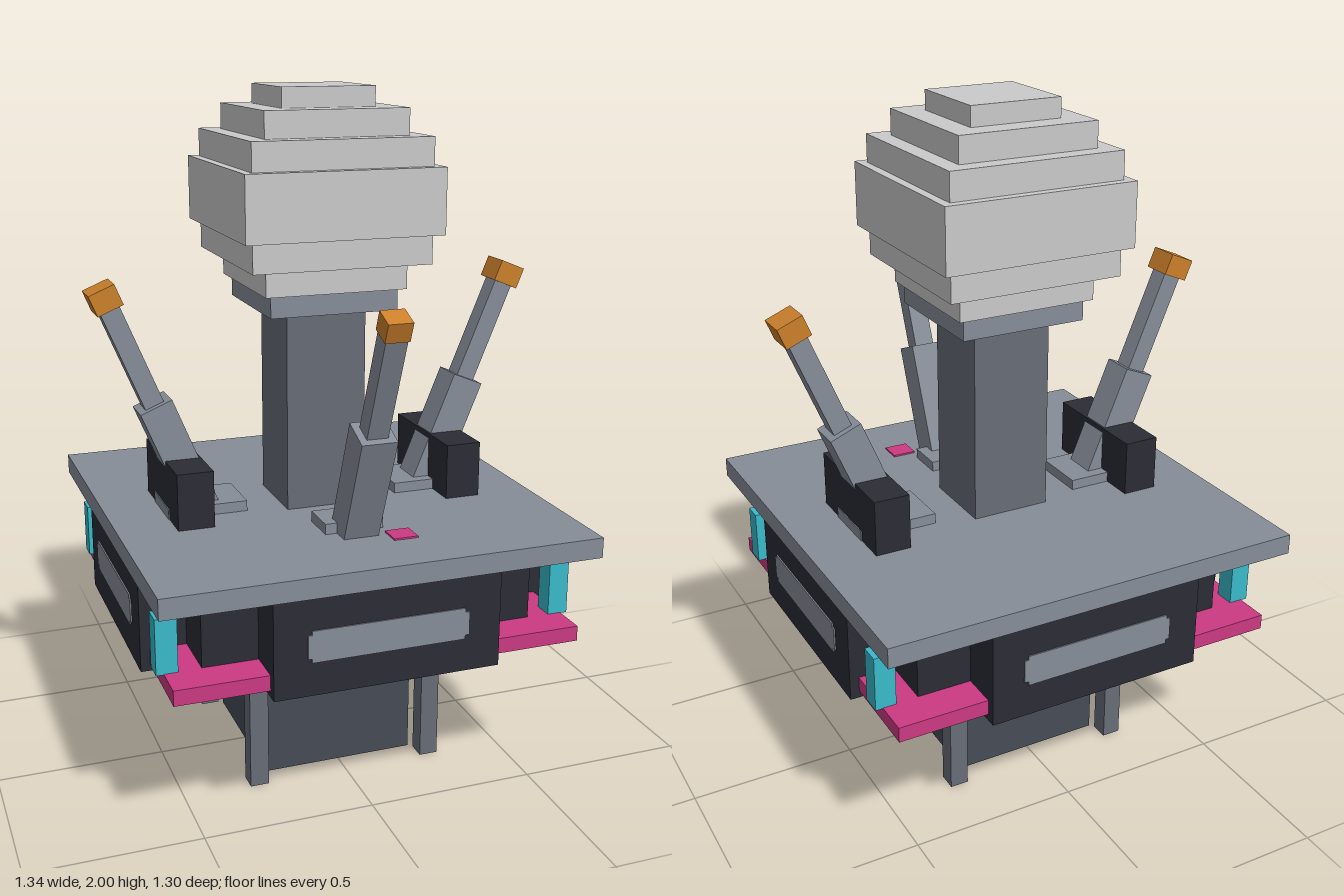
import * as THREE from 'three';

const paint = (name, color) => {
  const m = new THREE.MeshStandardMaterial({ color });
  m.name = name;
  return m;
};

export function createModel() {
  const white = paint('paleGrey', 0xcacaca);
  const slate = paint('slate', 0x868d98);
  const steel = paint('steel', 0x676c77);
  const iron = paint('darkSteel', 0x464b56);
  const black = paint('charcoal', 0x2b2c35);
  const pink = paint('pink', 0xcb3a82);
  const cyan = paint('cyan', 0x3abacb);
  const orange = paint('orange', 0xcb802b);

  const root = new THREE.Group();
  root.name = 'console';
  const model = new THREE.Group();
  model.name = 'body';
  model.position.z = -0.014;
  root.add(model);

  // box given by its x, y and z ranges
  const box = (name, mat, [x0, x1], [y0, y1], [z0, z1], parent = model) => {
    const mesh = new THREE.Mesh(new THREE.BoxGeometry(x1 - x0, y1 - y0, z1 - z0), mat);
    mesh.position.set((x0 + x1) / 2, (y0 + y1) / 2, (z0 + z1) / 2);
    mesh.name = name;
    parent.add(mesh);
    return mesh;
  };
  const square = (name, mat, r, y0, y1) => box(name, mat, [-r, r], [y0, y1], [-r, r]);

  // prism whose outline is one quadrant of points mirrored four ways
  const prism = (quadrant, depth) => {
    const back = [...quadrant].reverse();
    const pts = [
      ...quadrant,
      ...back.map(([x, y]) => [-x, y]),
      ...quadrant.map(([x, y]) => [-x, -y]),
      ...back.map(([x, y]) => [x, -y]),
    ].map(([x, y]) => new THREE.Vector2(x, y));
    return new THREE.ExtrudeGeometry(new THREE.Shape(pts), { depth, bevelEnabled: false });
  };

  // pedestal with four corner legs
  square('pedestal', iron, 0.232, 0, 0.445);
  for (const sx of [-1, 1]) for (const sz of [-1, 1]) {
    const x = sx * 0.272, z = sz * 0.272;
    box('leg', steel, [x - 0.028, x + 0.028], [0, 0.445], [z - 0.028, z + 0.028]);
  }

  // housing with stepped corners, under a square table top
  const housing = new THREE.Mesh(
    prism([[0.622, 0.33], [0.49, 0.33], [0.49, 0.49], [0.33, 0.49], [0.33, 0.622]], 0.287), black);
  housing.name = 'housing';
  housing.rotation.x = -Math.PI / 2;
  housing.position.y = 0.44;
  model.add(housing);
  square('tableTop', slate, 0.637, 0.725, 0.785);

  // corner ledges and posts
  for (const sx of [-1, 1]) for (const sz of [-1, 1]) {
    const range = (s, a, b) => (s > 0 ? [a, b] : [-b, -a]);
    box('cornerLedge', pink, range(sx, 0.33, 0.595), [0.46, 0.505], range(sz, 0.33, 0.595));
    box('cornerPost', cyan, range(sx, 0.555, 0.616), [0.503, 0.665], range(sz, 0.433, 0.493));
  }

  // window plate on each side
  const windowGeo = prism([[0.235, 0.034], [0.223, 0.034], [0.223, 0.046]], 0.006);
  for (let i = 0; i < 4; i++) {
    const side = new THREE.Group();
    side.name = 'windowSide';
    side.rotation.y = i * Math.PI / 2;
    const plate = new THREE.Mesh(windowGeo, slate);
    plate.name = 'window';
    plate.position.set(0, 0.583, 0.62);
    side.add(plate);
    model.add(side);
  }

  // column, collar and stepped globe
  square('column', steel, 0.12, 0.78, 1.385);
  square('collar', slate, 0.19, 1.377, 1.441);
  const tiers = [[0.21, 1.44, 1.516], [0.263, 1.516, 1.6], [0.29, 1.6, 1.787],
    [0.263, 1.787, 1.868], [0.21, 1.868, 1.943], [0.137, 1.943, 2]];
  for (const [r, y0, y1] of tiers) square('globeTier', white, r, y0, y1);

  // leaning lever, built towards +x and turned into place
  const lever = (name, turn, padEnd, [tipX, tipY, tipZ]) => {
    const station = new THREE.Group();
    station.name = name;
    station.rotation.y = turn;
    model.add(station);
    box('leverPad', slate, [0.235, padEnd], [0.783, 0.816], [-0.087, 0.087], station);
    const arm = new THREE.Group();
    arm.name = 'leverArm';
    arm.position.set(0.36, 0.8, 0);
    arm.rotation.z = -0.391;
    station.add(arm);
    box('lowerArm', slate, [-0.05, 0.05], [-0.02, 0.34], [-0.052, 0.052], arm);
    box('upperArm', slate, [-0.029, 0.029], [0.33, 0.66], [-0.031, 0.031], arm);
    box('leverTip', orange, [-tipX, tipX], [0.682 - tipY, 0.682 + tipY], [-tipZ, tipZ], arm);
    return station;
  };
  lever('frontLever', -Math.PI / 2, 0.353, [0.033, 0.029, 0.035]);
  for (const [name, turn] of [['leftLever', 0], ['rightLever', Math.PI]]) {
    const station = lever(name, turn, 0.472, [0.04, 0.032, 0.047]);
    box('leverBracket', black, [0.362, 0.469], [0.783, 0.952], [-0.188, 0.188], station);
  }

  // small button beside the front lever
  box('button', pink, [0.078, 0.15], [0.784, 0.79], [0.39, 0.46]);

  return root;
}
